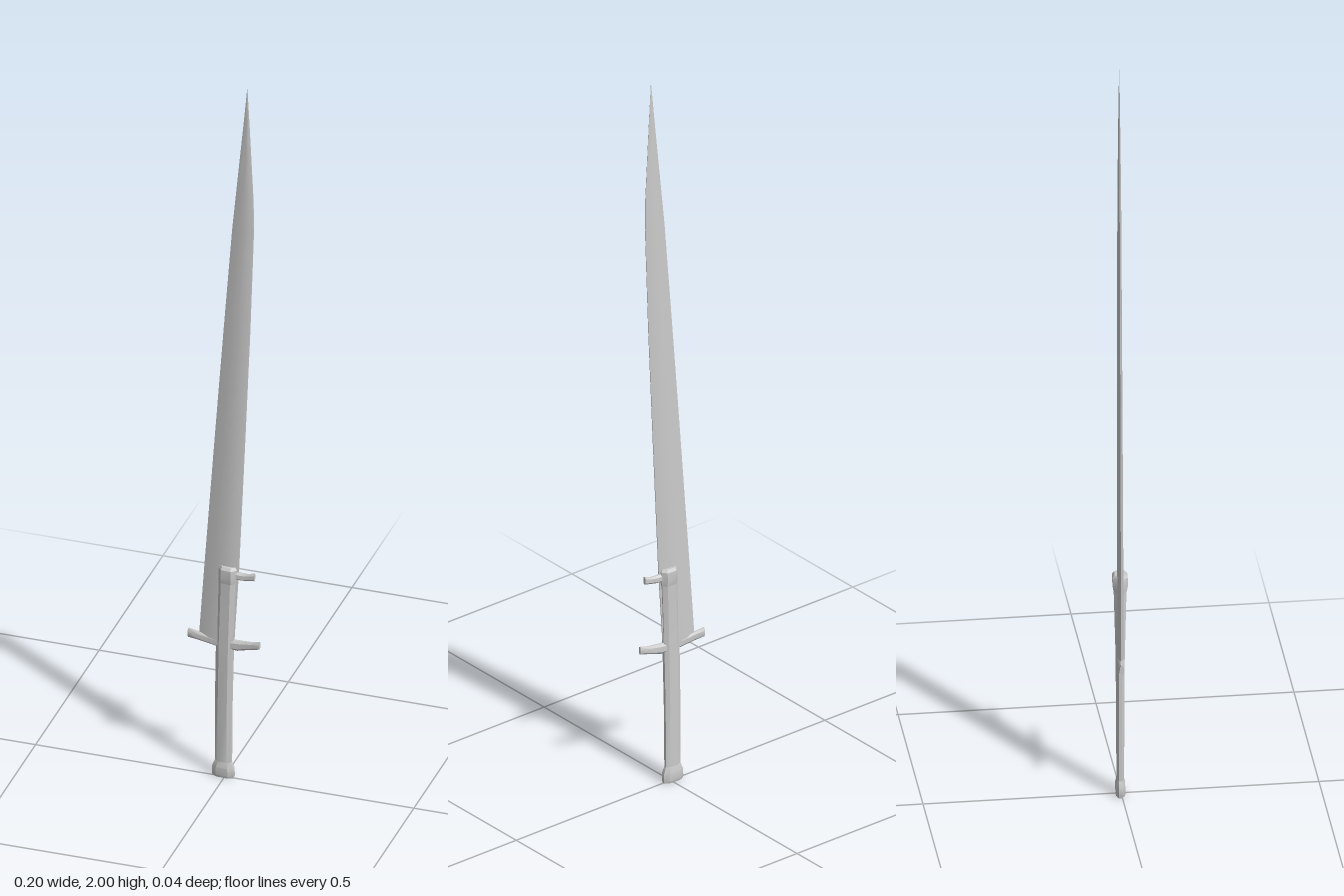
import * as THREE from 'three';
import { toCreasedNormals } from 'three/addons/utils/BufferGeometryUtils.js';

const material = new THREE.MeshStandardMaterial({ color: 0xcccccc });

// Skin a row of equal-length point rings and close both ends
function loft(name, rings) {
  const n = rings[0].length, pos = [], idx = [];
  rings.forEach(r => r.forEach(p => pos.push(...p)));
  for (let i = 0; i < rings.length - 1; i++) {
    for (let j = 0; j < n; j++) {
      const k = (j + 1) % n, a = i * n + j, b = i * n + k;
      idx.push(a, b, b + n, a, b + n, a + n);
    }
  }
  const last = (rings.length - 1) * n;
  for (let j = 1; j < n - 1; j++) {
    idx.push(0, j + 1, j, last, last + j, last + j + 1);
  }
  const g = new THREE.BufferGeometry();
  g.setAttribute('position', new THREE.Float32BufferAttribute(pos, 3));
  g.setIndex(idx);
  const mesh = new THREE.Mesh(toCreasedNormals(g, 0.5), material);
  mesh.name = name;
  return mesh;
}

// Chamfered unit outline, counterclockwise
const OCT = [[1, 0.4], [0.55, 1], [-0.55, 1], [-1, 0.4], [-1, -0.4], [-0.55, -1], [0.55, -1], [1, -0.4]];
// Blade outline: long bevel on the cutting side, short bevel on the spine
const BLADE = [[1, 0.15], [0.6, 0.9], [0.1, 1], [-0.4, 0.8], [-1, 0.04],
  [-1, -0.04], [-0.4, -0.8], [0.1, -1], [0.6, -0.9], [1, -0.15]];

// Upright part from sections [y, left x, right x, half depth]
const upright = (name, outline, sections) => loft(name, sections.map(([y, l, r, d]) =>
  outline.map(([u, v]) => [(l + r) / 2 + u * (r - l) / 2, y, -v * d])));

// Crosswise part from sections [x, bottom y, top y, half depth]
const crosswise = (name, sections) => loft(name, sections.map(([x, b, t, d]) =>
  OCT.map(([u, v]) => [x, (b + t) / 2 + u * (t - b) / 2, v * d])));

export function createModel() {
  const model = new THREE.Group();
  model.name = 'sword';

  model.add(upright('blade', BLADE, [
    [0.39, -0.071, 0.025, 0.008],
    [0.6, -0.056, 0.038, 0.008],
    [1.0, -0.026, 0.056, 0.007],
    [1.3, -0.003, 0.069, 0.006],
    [1.59, 0.02, 0.079, 0.005],
    [1.68, 0.029, 0.078, 0.0045],
    [1.8, 0.041, 0.072, 0.003],
    [1.9, 0.051, 0.067, 0.002],
    [2.0, 0.0605, 0.0615, 0.0003],
  ]));

  // Slightly leaning grip that carries on up over the blade root
  model.add(upright('grip', OCT, [
    [0.03, -0.026, 0.018, 0.009],
    [0.2, -0.026, 0.019, 0.01],
    [0.38, -0.023, 0.023, 0.011],
    [0.5, -0.018, 0.028, 0.014],
    [0.575, -0.015, 0.031, 0.016],
  ]));
  model.add(upright('gripCollar', OCT, [
    [0.565, -0.015, 0.032, 0.016],
    [0.58, -0.015, 0.034, 0.019],
    [0.605, -0.014, 0.034, 0.019],
    [0.612, -0.011, 0.03, 0.014],
  ]));
  model.add(upright('pommel', OCT, [
    [0, -0.032, 0.023, 0.01],
    [0.006, -0.034, 0.025, 0.012],
    [0.028, -0.033, 0.024, 0.012],
    [0.045, -0.026, 0.018, 0.009],
  ]));

  model.add(crosswise('crossGuard', [
    [-0.1, 0.381, 0.406, 0.005],
    [-0.07, 0.379, 0.402, 0.006],
    [-0.02, 0.373, 0.397, 0.008],
    [0.035, 0.372, 0.4, 0.008],
    [0.07, 0.382, 0.403, 0.005],
    [0.095, 0.388, 0.409, 0.004],
  ]));
  model.add(crosswise('upperProng', [
    [0.015, 0.578, 0.602, 0.012],
    [0.045, 0.577, 0.597, 0.007],
    [0.065, 0.58, 0.598, 0.005],
    [0.081, 0.583, 0.604, 0.005],
  ]));

  // The whole sword is turned a little about its length
  model.rotation.y = -0.085;
  model.position.z = -0.002;
  return model;
}
